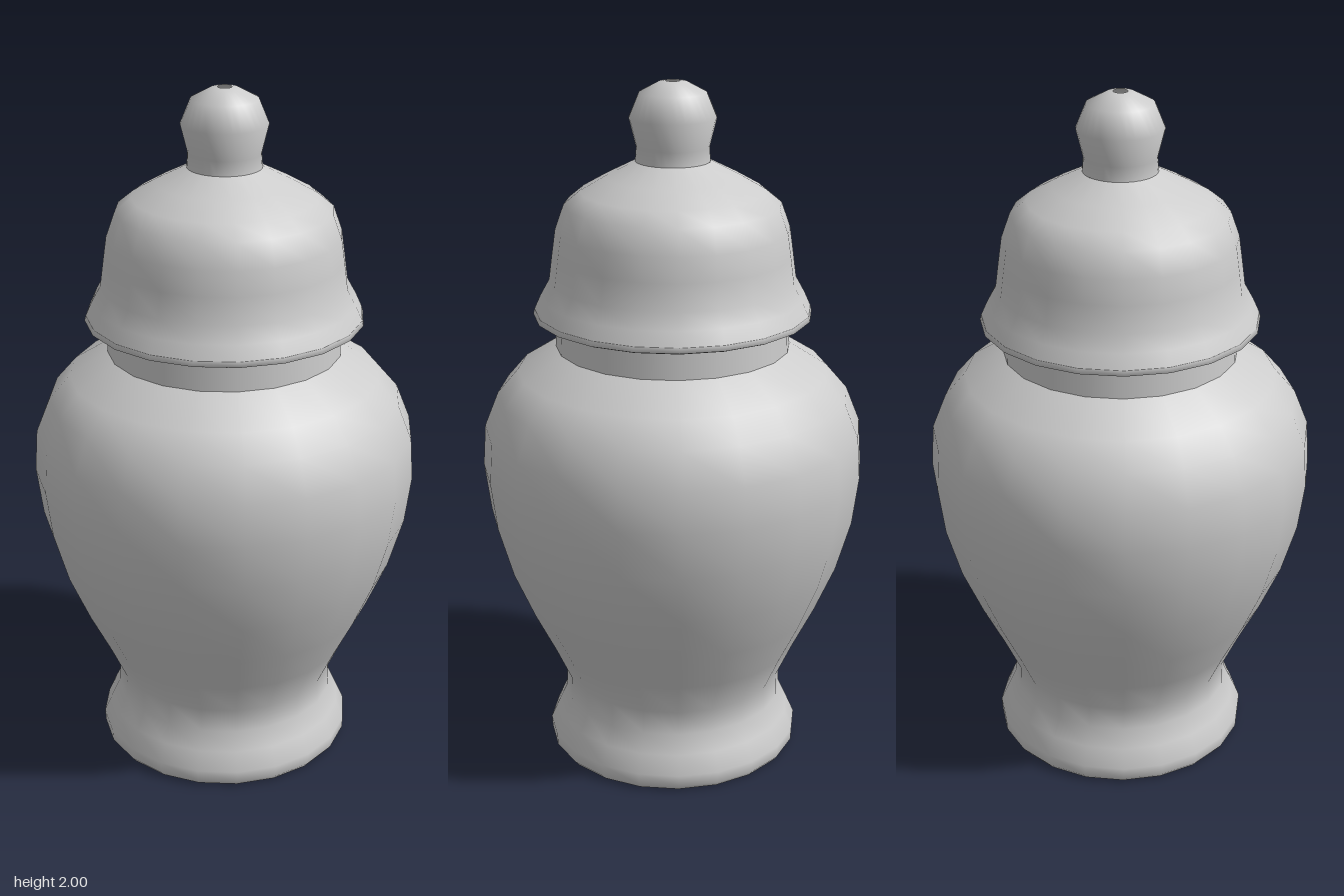
import * as THREE from 'three';

const TURN = THREE.MathUtils.degToRad(5); // all rings share this slight twist

export function createModel() {
  const group = new THREE.Group();
  const material = new THREE.MeshStandardMaterial({ color: 0xcccccc, side: THREE.DoubleSide });

  // Revolve a [radius, height] profile, listed from bottom to top
  function turned(name, profile, sides = 20) {
    const points = profile.map(([r, y]) => new THREE.Vector2(r, y));
    const mesh = new THREE.Mesh(new THREE.LatheGeometry(points, sides, TURN), material);
    mesh.name = name;
    group.add(mesh);
  }

  // Flat underside, kept separate for a sharp edge
  turned('bottom', [[0, 0], [0.36, 0]]);

  // Flared foot, waist, belly and shoulder
  turned('body', [
    [0.36, 0], [0.372, 0.015], [0.374, 0.05], [0.35, 0.105], [0.325, 0.16],
    [0.322, 0.23], [0.37, 0.335], [0.432, 0.46], [0.492, 0.6], [0.535, 0.75],
    [0.553, 0.89], [0.545, 1.01], [0.505, 1.11], [0.445, 1.18], [0.335, 1.25],
  ]);

  // Straight neck below the lid
  turned('neck', [[0.335, 1.25], [0.33, 1.34]]);

  // Ledge under the lid and its thin rim
  turned('lidUnderside', [[0.325, 1.335], [0.385, 1.34]]);
  turned('lidRim', [[0.385, 1.34], [0.397, 1.345], [0.393, 1.36]]);

  // Bell-shaped lid
  turned('lid', [
    [0.393, 1.36], [0.375, 1.4], [0.35, 1.445], [0.34, 1.52], [0.33, 1.59],
    [0.305, 1.66], [0.26, 1.697], [0.19, 1.737], [0.105, 1.78],
  ]);

  // Knob, with a small open hole at its top
  turned('knob', [
    [0.105, 1.78], [0.102, 1.82], [0.122, 1.9], [0.094, 1.968], [0.04, 1.997], [0.02, 2],
  ], 32);

  return group;
}
